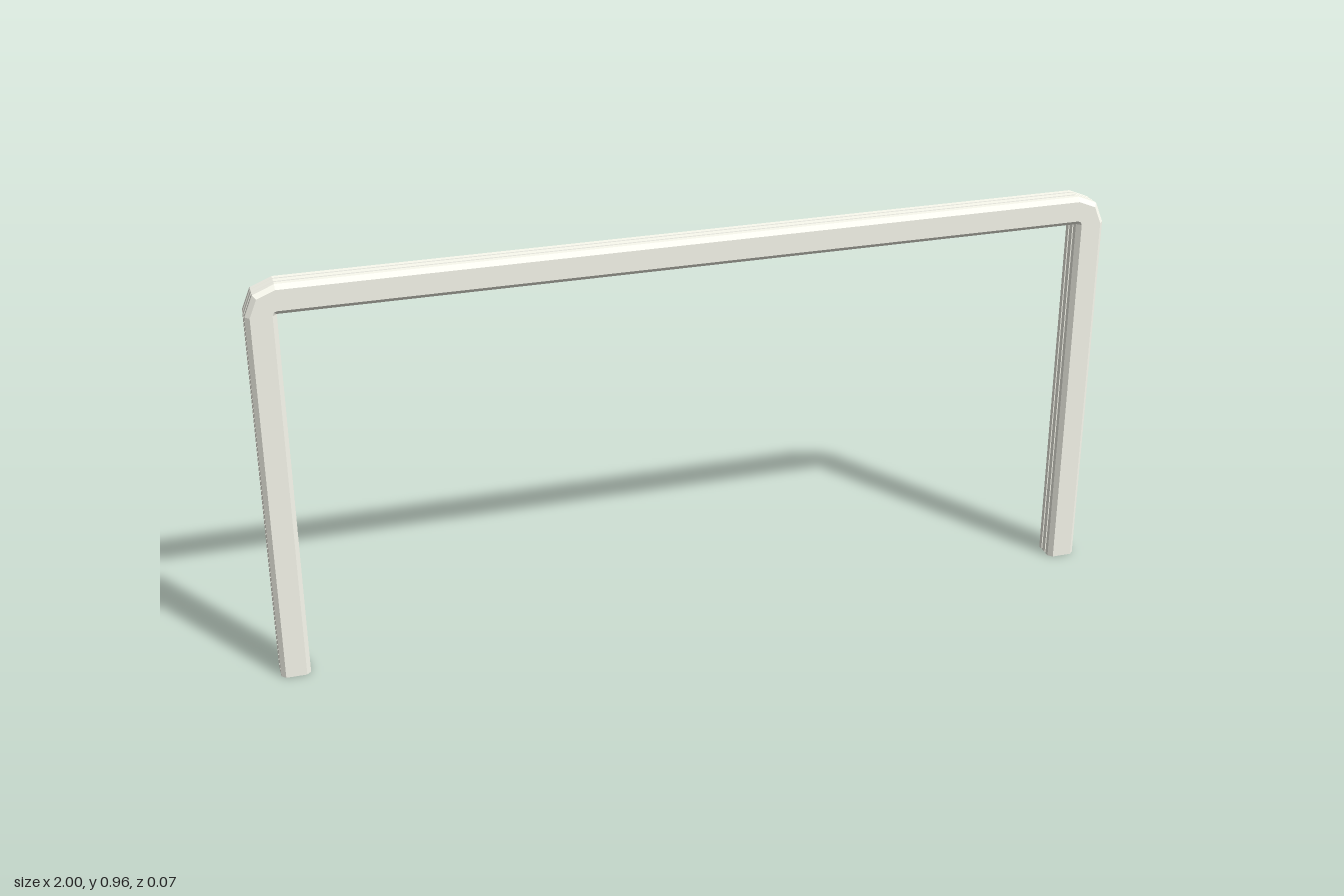
import * as THREE from 'three';

const depth = 0.068;

// Quarter of the bar's cross-section: [depth below the face, z], grooved and chamfered
const quarter = [
  [0, 0.007], [0.007, 0.008], [0.007, 0.011], [0, 0.012], [0, 0.024], [0.01, 0.034],
];

export function createModel() {
  const group = new THREE.Group();

  // Full section, running counter-clockwise in (depth outward, z); inner and outer faces match
  const half = [...quarter, ...quarter.map(([d, z]) => [depth - d, z]).reverse()];
  const section = [
    ...half.map(([d, z]) => [d, -z]),
    ...half.slice().reverse(),
  ];

  // Stations along the frame: foot, faceted corner, faceted corner, foot
  const inX = 1 - depth, inY = 0.9625 - depth;
  const stations = [[inX, 0, 0]];
  for (const deg of [0, 45, 90]) stations.push([inX, inY, deg]);
  for (const deg of [90, 135, 180]) stations.push([-inX, inY, deg]);
  stations.push([-inX, 0, 180]);

  const rings = stations.map(([x, y, deg]) => {
    const a = THREE.MathUtils.degToRad(deg);
    return section.map(([d, z]) => [x + d * Math.cos(a), y + d * Math.sin(a), z]);
  });

  // Skin between neighbouring stations
  const pos = [];
  const tri = (a, b, c) => pos.push(...a, ...b, ...c);
  const n = section.length;
  for (let s = 0; s < rings.length - 1; s++) {
    for (let i = 0; i < n; i++) {
      const j = (i + 1) % n;
      const a = rings[s][i], b = rings[s][j], c = rings[s + 1][i], d = rings[s + 1][j];
      tri(a, c, b);
      tri(b, c, d);
    }
  }

  // Flat end caps under both feet
  const outline = section.map(([d, z]) => new THREE.Vector2(d, z));
  const first = rings[0], last = rings[rings.length - 1];
  for (const [a, b, c] of THREE.ShapeUtils.triangulateShape(outline, [])) {
    tri(first[a], first[b], first[c]);
    tri(last[a], last[c], last[b]);
  }

  const geometry = new THREE.BufferGeometry();
  geometry.setAttribute('position', new THREE.Float32BufferAttribute(pos, 3));
  geometry.computeVertexNormals();

  const frame = new THREE.Mesh(
    geometry,
    new THREE.MeshStandardMaterial({ color: 0xfbfbf0, flatShading: true }),
  );
  frame.name = 'groovedFrame';
  group.add(frame);
  return group;
}
